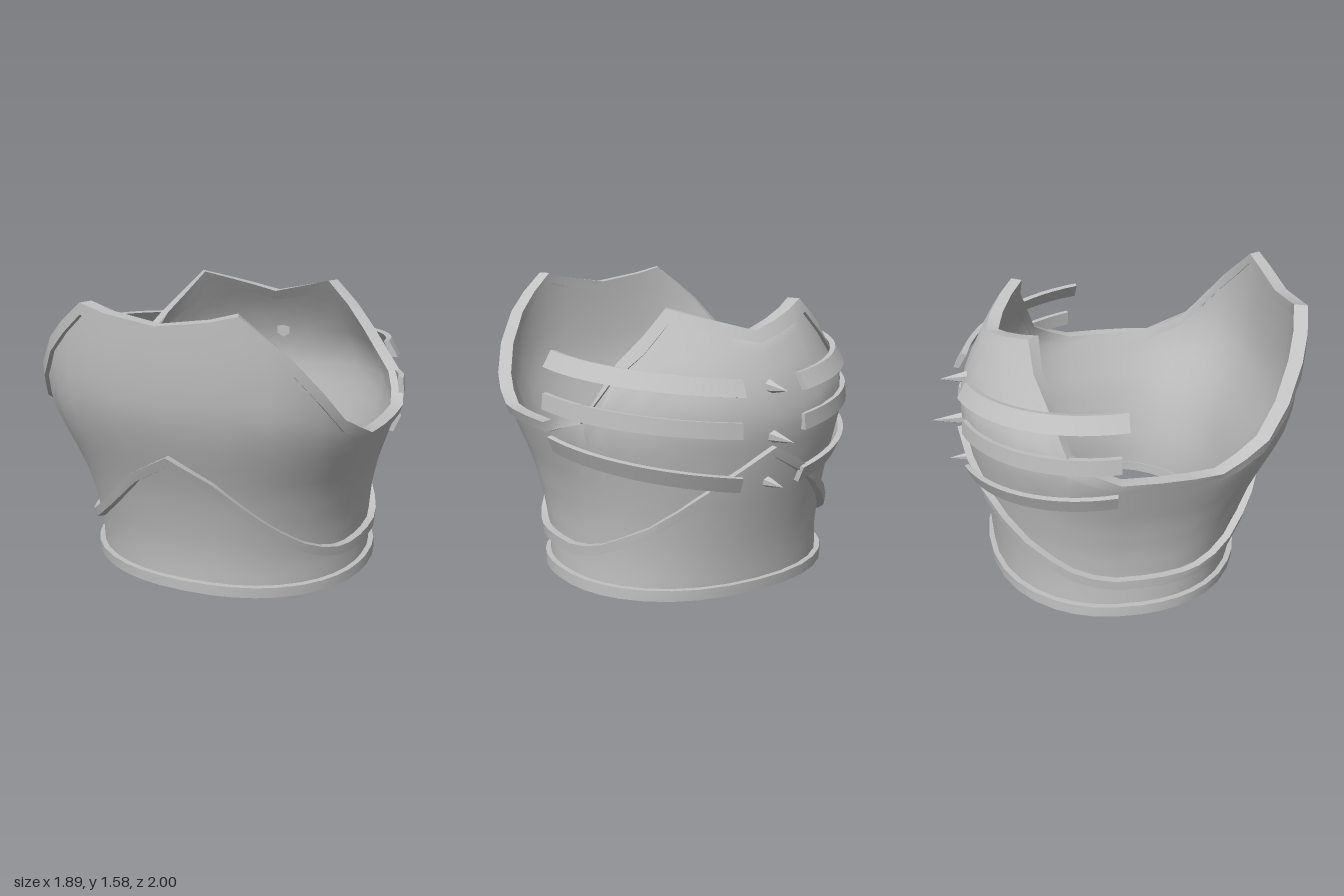
import * as THREE from 'three';
import { toCreasedNormals } from 'three/addons/utils/BufferGeometryUtils.js';

// Linear lookup in a table of rows [key, value, ...] with rising keys
function look(table, key, col = 1) {
  if (key <= table[0][0]) return table[0][col];
  for (let i = 1; i < table.length; i++) {
    const a = table[i - 1], b = table[i];
    if (key <= b[0]) return a[col] + (b[col] - a[col]) * (key - a[0]) / (b[0] - a[0]);
  }
  return table[table.length - 1][col];
}

// Body profile: y, front half width, front depth, back half width, back depth
const BODY = [
  [0, .775, .69, .775, .69], [.2, .765, .695, .765, .705], [.4, .78, .735, .78, .74],
  [.6, .82, .79, .82, .785], [.8, .885, .87, .885, .82], [.92, .925, .915, .925, .84],
  [1.05, .94, .955, .92, .83], [1.25, .945, .975, .8, .75], [1.38, .93, .98, .77, .66],
  [1.58, .92, .98, .73, .52],
];
// Upper edge by angle (90 = front centre, -90 = back centre): angle, y, border width
const EDGE = [
  [-90, 1.39, .06], [-56, 1.51, .07], [-34, 1.25, .09], [-25, 1.04, .09], [-16, .97, .06],
  [-7, .92, .055], [17.6, .92, .055], [34, 1.05, .07], [55, 1.37, .08], [72.7, 1.58, .06],
  [90, 1.505, .055],
];
// Upper edge of the pointed belt
const BELT = [
  [-90, .82], [-70, .64], [-48, .42], [-23, .27], [-10, .235], [20, .235], [30, .25],
  [44, .32], [60, .44], [76, .61], [90, .82],
];
const ANGLES = [90, 81, 72.7, 64, 55, 44, 34, 25, 17.6, 9, 2, -7, -16, -25, -34, -45, -56, -67, -79, -90];
const COLUMNS = [
  ...ANGLES.map(a => [a, 1]),
  ...ANGLES.slice(1, -1).reverse().map(a => [a, -1]),
];

// Point on the body surface, pushed outward by off
function bodyPoint(angle, side, y, off) {
  const front = angle > 0, k = Math.min(y, 1);
  const n = front ? 2.2 + .8 * k : 2.2 - .2 * k;
  const w = look(BODY, y, front ? 1 : 3) + off, d = look(BODY, y, front ? 2 : 4) + off;
  const r = THREE.MathUtils.degToRad(Math.abs(angle));
  const x = w * Math.pow(Math.max(Math.cos(r), 0), 2 / n);
  const z = d * Math.pow(Math.sin(r), 2 / n);
  return new THREE.Vector3(Math.abs(angle) === 90 ? 0 : x * side, y, front ? z : -z);
}

// Skin a row of closed cross-sections; closed joins the last to the first
function loft(rings, closed, crease) {
  const m = rings[0].length, n = rings.length, tris = [];
  const quad = (a, b, c, d) => tris.push([a, b, c], [a, c, d]);
  for (let i = 0; i < (closed ? n : n - 1); i++) {
    const p = rings[i], q = rings[(i + 1) % n];
    for (let j = 0; j < m; j++) quad(p[j], q[j], q[(j + 1) % m], p[(j + 1) % m]);
  }
  if (!closed) {
    const a = rings[0], b = rings[n - 1];
    for (let j = 1; j < m - 1; j++) tris.push([a[0], a[j], a[j + 1]], [b[0], b[j + 1], b[j]]);
  }
  // Turn the faces outward by the sign of the enclosed volume
  let vol = 0;
  const cross = new THREE.Vector3();
  for (const [a, b, c] of tris) vol += a.dot(cross.crossVectors(b, c));
  const pos = [];
  for (const [a, b, c] of tris) for (const v of vol < 0 ? [a, c, b] : [a, b, c]) pos.push(v.x, v.y, v.z);
  const geo = new THREE.BufferGeometry();
  geo.setAttribute('position', new THREE.Float32BufferAttribute(pos, 3));
  return toCreasedNormals(geo, crease);
}

// Rectangular band running round the body between two heights
function bandGeometry(low, high, inner, outer) {
  return loft(COLUMNS.map(([a, s]) => [
    bodyPoint(a, s, low(a), outer), bodyPoint(a, s, high(a), outer),
    bodyPoint(a, s, high(a), inner), bodyPoint(a, s, low(a), inner),
  ]), true, .6);
}

// Curved rib sweeping from the back round one side
function ribGeometry(side, { a, b, yBack, yEnd, tilt, end }) {
  const rings = [], steps = 14, h = .042, thick = .03;
  for (let i = 0; i <= steps; i++) {
    const f = i / steps, t = THREE.MathUtils.degToRad(12 + (end - 12) * f);
    const y = yBack + (yEnd - yBack) * f;
    const corner = (v, o) => {
      const off = o - v * tilt;
      return new THREE.Vector3(side * (a + off) * Math.sin(t), y + v * h + o * tilt * 8, -(b + off) * Math.cos(t));
    };
    rings.push([corner(-1, 0), corner(1, 0), corner(1, thick), corner(-1, thick)]);
  }
  return loft(rings, false, .6);
}

export function createModel() {
  const group = new THREE.Group();
  const steel = new THREE.MeshStandardMaterial({ color: 0xc0c0c0 });
  steel.name = 'steel grey';
  const add = (name, geo) => {
    const mesh = new THREE.Mesh(geo, steel);
    mesh.name = name;
    group.add(mesh);
    return mesh;
  };

  // Hollow body shell
  const rows = 14;
  add('bodyShell', loft(COLUMNS.map(([a, s]) => {
    const top = look(EDGE, a) - .01, ring = [];
    for (let i = 0; i <= rows; i++) ring.push(bodyPoint(a, s, .005 + (top - .005) * i / rows, 0));
    for (let i = rows; i >= 0; i--) ring.push(bodyPoint(a, s, .005 + (top - .005) * i / rows, -.04));
    return ring;
  }), true, 1.0));

  // Raised borders and belt
  add('upperBorder', bandGeometry(a => look(EDGE, a) - look(EDGE, a, 2), a => look(EDGE, a), -.048, .02));
  add('lowerHem', bandGeometry(() => 0, () => .06, -.045, .03));
  add('pointedBelt', bandGeometry(a => look(BELT, a) - .055, a => look(BELT, a), -.02, .04));

  // Three ribs on each side of the back
  const ribs = [
    { a: .855, b: .82, yBack: 1.13, yEnd: 1.235, tilt: .025, end: 86 },
    { a: .915, b: .83, yBack: .92, yEnd: 1.03, tilt: .004, end: 83 },
    { a: .885, b: .815, yBack: .64, yEnd: .805, tilt: -.018, end: 82 },
  ];
  for (const side of [1, -1]) {
    ribs.forEach((rib, i) => add(`${side > 0 ? 'left' : 'right'}Rib${i + 1}`, ribGeometry(side, rib)));
  }

  // Spikes down the spine: y, base z, tip z
  [[1.12, -.75, -.94], [.87, -.77, -1], [.62, -.72, -.92]].forEach(([y, base, tip], i) => {
    const cone = new THREE.ConeGeometry(.046, base - tip, 6).toNonIndexed();
    cone.computeVertexNormals();
    const spike = add(`spineSpike${i + 1}`, cone);
    spike.rotation.x = -Math.PI / 2;
    spike.position.set(0, y, (base + tip) / 2);
  });

  return group;
}
